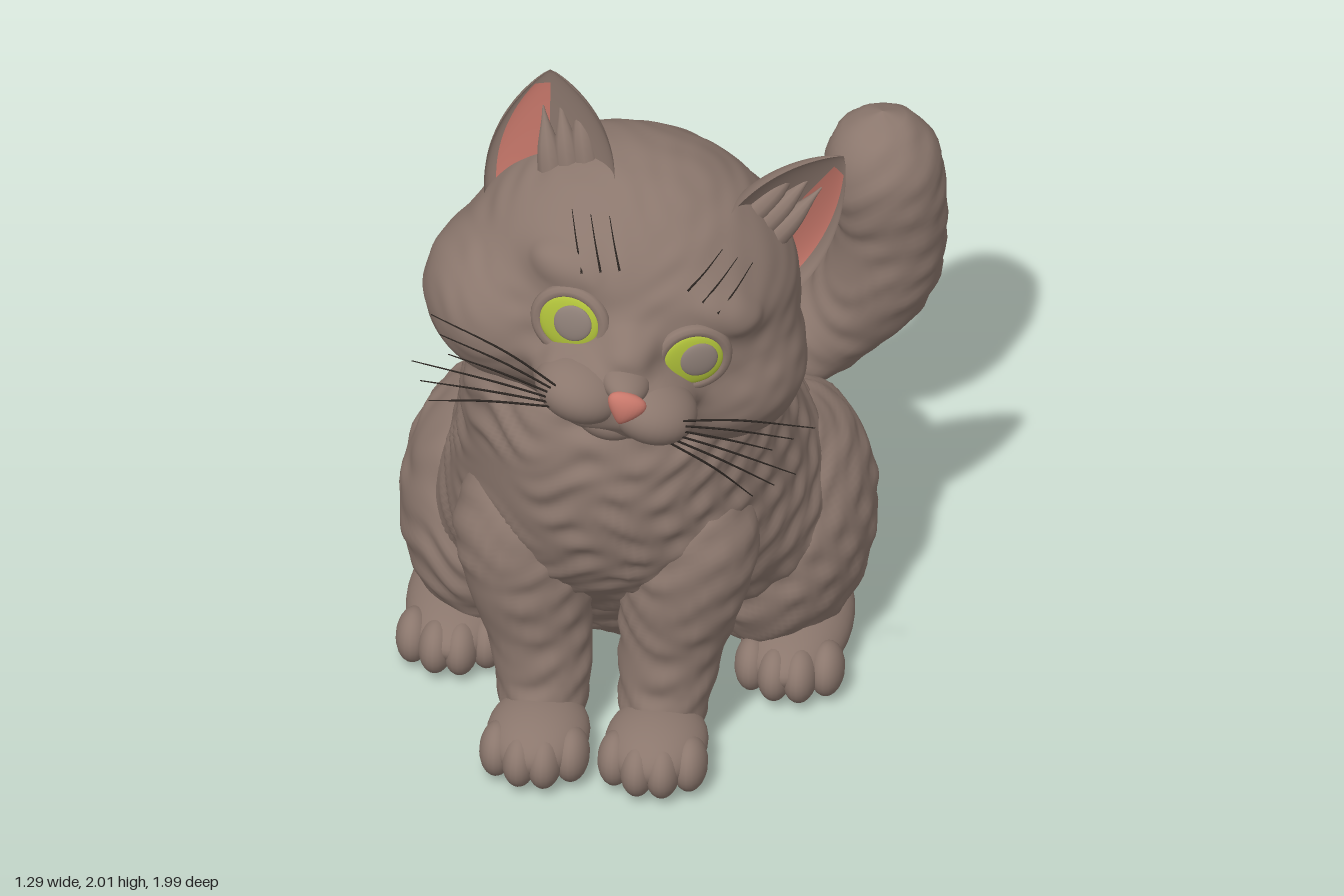
import * as THREE from 'three';
import { mergeVertices } from 'three/addons/utils/BufferGeometryUtils.js';

const mat = (name, color, side = THREE.FrontSide) => {
  const m = new THREE.MeshStandardMaterial({ color, side });
  m.name = name;
  return m;
};
const V = (x, y, z) => new THREE.Vector3(x, y, z);
const MIDLINE = -0.035;

// Smooth interpolation through rows of numbers, t in 0..1
function sample(rows, t) {
  const n = rows.length - 1, i = Math.min(Math.floor(t * n), n - 1), f = t * n - i;
  const at = (k) => rows[Math.max(0, Math.min(n, k))];
  return rows[0].map((_, c) => {
    const a = at(i - 1)[c], b = at(i)[c], d = at(i + 1)[c], e = at(i + 2)[c];
    return b + 0.5 * f * (d - a + f * (2 * a - 5 * b + 4 * d - e + f * (3 * (b - d) + e - a)));
  });
}

// Applies fn to every vertex, welds the seams and recomputes smooth normals
function reshape(geo, fn) {
  const g0 = geo.clone();
  const pos = g0.attributes.position, p = V();
  for (let i = 0; i < pos.count; i++) {
    fn(p.fromBufferAttribute(pos, i), i);
    pos.setXYZ(i, p.x, p.y, p.z);
  }
  g0.deleteAttribute('uv');
  g0.deleteAttribute('normal');
  const g = mergeVertices(g0, 1e-5);
  g.computeVertexNormals();
  return g;
}

// Ruffles a surface along its normals into overlapping locks of fur
function ruffle(geo, amount) {
  const nor = geo.attributes.normal.clone(), n = V();
  return reshape(geo, (p, i) => {
    const lock = Math.sin(p.y * 62 + 2.5 * Math.sin(p.x * 19 + p.z * 8) + p.z * 14);
    const strand = Math.sin(p.x * 43 - p.z * 37 + 2 * Math.sin(p.y * 17));
    p.addScaledVector(n.fromBufferAttribute(nor, i), amount * lock * (0.6 + strand * 0.6));
  });
}

const ellipsoid = (c, r, seg = 32) => reshape(new THREE.SphereGeometry(1, seg, Math.round(seg * 0.7)),
  (p) => p.set(c[0] + p.x * r[0], c[1] + p.y * r[1], c[2] + p.z * r[2]));

// Tube with a radius at each path point: rows are [x, y, z, radius]
function limb(rows, steps = 60, sides = 32) {
  const curve = new THREE.CatmullRomCurve3(rows.map((r) => V(r[0], r[1], r[2])));
  const radii = rows.map((r) => [r[3]]);
  return reshape(new THREE.TubeGeometry(curve, steps, 1, sides), (p, i) => {
    const u = Math.floor(i / (sides + 1)) / steps, c = curve.getPointAt(u);
    p.sub(c).multiplyScalar(Math.max(0.001, sample(radii, curve.getUtoTmapping(u))[0])).add(c);
  });
}

// Head as a soft union of ellipsoids: [centre, radii]
const HEAD = [[[0, 0.005, 0], [0.43, 0.38, 0.37]], [[0, 0.0, 0.33], [0.085, 0.09, 0.12]], [[0, -0.13, 0.33], [0.18, 0.12, 0.13]]];
for (const s of [-1, 1]) {
  HEAD.push([[s * 0.265, -0.115, 0.05], [0.235, 0.205, 0.26]], [[s * 0.17, 0.145, 0.26], [0.12, 0.06, 0.07]]);
  HEAD.push([[s * 0.09, -0.1, 0.38], [0.11, 0.075, 0.11]]);
}
function headField(p) {
  let d = 1;
  for (const [c, r] of HEAD) {
    const e = (Math.hypot((p.x - c[0]) / r[0], (p.y - c[1]) / r[1], (p.z - c[2]) / r[2]) - 1) * Math.min(...r);
    const h = Math.max(0.055 - Math.abs(d - e), 0) / 0.055;
    d = Math.min(d, e) - h * h * 0.012;
  }
  return d;
}
function headGeometry() {
  return reshape(new THREE.IcosahedronGeometry(1, 44), (p) => {
    const dir = p.clone().normalize();
    let lo = 0.1, hi = 0.8;
    for (let k = 0; k < 18; k++) {
      const m = (lo + hi) / 2;
      if (headField(p.copy(dir).multiplyScalar(m)) < 0) lo = m; else hi = m;
    }
  });
}
// Front point of the head at x, y
function onFace(x, y, lift = 0) {
  const p = V(x, y, 0.7);
  while (p.z > 0 && headField(p) > 0) p.z -= 0.003;
  p.z += lift;
  return p;
}

// Ear sheet: a runs across (-1 inner, 1 outer), s from base to tip
function earSheet(depth, a0, a1, s0, s1, lift) {
  const g = new THREE.PlaneGeometry(1, 1, 24, 28);
  return reshape(g, (p) => {
    const a = Math.sin((a0 + (a1 - a0) * (p.x + 0.5)) * Math.PI / 2), s = s0 + (s1 - s0) * (p.y + 0.5);
    const w = s < 0 ? 1 : (1 - s ** 2.1) ** 0.9;
    const z = 0.055 * (1 - s) - 0.075 * a * w - depth * Math.sqrt(Math.max(0, 1 - a * a)) * (1 - s) ** 0.8 + lift;
    p.set(0.29 + 0.14 * a * w + 0.1 * s, 0.22 - 0.105 * a * w + 0.295 * s, z);
  });
}

export function createModel() {
  const fur = mat('fur', 0x8b776d), furOpen = mat('ear fur', 0x8b776d, THREE.DoubleSide);
  const pink = mat('pink skin', 0xc8786b, THREE.DoubleSide), green = mat('green iris', 0xafc03a);
  const pupil = mat('pupil', 0x8f8078), dark = mat('whisker', 0x2b2521);
  const cat = new THREE.Group();
  cat.name = 'sittingCat';
  const add = (parent, name, geo, material) => {
    const m = new THREE.Mesh(geo, material);
    m.name = name;
    parent.add(m);
    return m;
  };

  // Torso: horizontal sections [y, back z, front z, half width], squarer at the rump
  const sections = [[0.01, -0.4, 0.04, 0.32], [0.1, -0.51, 0.18, 0.46], [0.25, -0.58, 0.32, 0.54], [0.4, -0.575, 0.48, 0.535],
    [0.55, -0.52, 0.63, 0.48], [0.7, -0.41, 0.695, 0.44], [0.85, -0.25, 0.715, 0.41], [1.0, -0.04, 0.705, 0.385],
    [1.15, 0.07, 0.65, 0.345], [1.28, 0.18, 0.58, 0.26]];
  const torso = reshape(new THREE.CylinderGeometry(1, 1, 1, 120, 120), (p) => {
    const [y, back, front, w] = sample(sections, Math.min(1, Math.max(0, p.y + 0.5)));
    const power = p.z < 0 ? 2 + 0.4 * THREE.MathUtils.smoothstep(0.9 - y, 0, 0.5) : 2;
    const r = Math.hypot(p.x, p.z);
    const k = r > 0 ? r / (Math.abs(p.x) ** power + Math.abs(p.z) ** power) ** (1 / power) : 0;
    p.set(-0.027 + p.x * k * w, y, (back + front) / 2 + p.z * k * (front - back) / 2);
  });
  add(cat, 'torso', ruffle(torso, 0.007), fur);

  // Legs and paws, mirrored about the body midline
  for (const s of [-1, 1]) {
    const side = new THREE.Group();
    side.name = s > 0 ? 'leftLegs' : 'rightLegs';
    side.position.x = MIDLINE;
    cat.add(side);
    add(side, 'haunch', ruffle(ellipsoid([s * 0.36, 0.32, -0.1], [0.24, 0.32, 0.39], 90), 0.006), fur);
    const leg = limb([[s * 0.17, 0.86, 0.34, 0.01], [s * 0.19, 0.78, 0.39, 0.12], [s * 0.21, 0.63, 0.455, 0.175],
      [s * 0.195, 0.48, 0.475, 0.163], [s * 0.17, 0.32, 0.48, 0.135], [s * 0.155, 0.18, 0.5, 0.12], [s * 0.15, 0.07, 0.55, 0.09], [s * 0.15, 0.03, 0.58, 0.01]], 80);
    add(side, 'frontLeg', ruffle(leg, 0.005), fur);
    add(side, 'frontPaw', ellipsoid([s * 0.15, 0.09, 0.63], [0.13, 0.084, 0.165]), fur);
    add(side, 'hindFoot', ellipsoid([s * 0.425, 0.09, 0.05], [0.14, 0.088, 0.28]), fur);
    for (let i = 0; i < 4; i++) {
      const o = (i - 1.5) * 0.063, b = Math.abs(i - 1.5) > 1 ? 0.04 : 0;
      add(side, 'frontToe', ellipsoid([s * 0.15 + o, 0.074, 0.735 - b], [0.045, 0.07, 0.075], 20), fur);
      add(side, 'hindToe', ellipsoid([s * 0.43 + o, 0.074, 0.267 - b], [0.045, 0.07, 0.075], 20), fur);
    }
  }

  // Tail sweeping to the side and up
  const tail = limb([[-0.08, 0.19, -0.42, 0.08], [-0.04, 0.195, -0.58, 0.083], [0.06, 0.22, -0.72, 0.095], [0.2, 0.28, -0.81, 0.11], [0.36, 0.4, -0.86, 0.125],
    [0.47, 0.56, -0.85, 0.143], [0.5, 0.74, -0.825, 0.14], [0.485, 0.88, -0.81, 0.152], [0.48, 0.98, -0.81, 0.13], [0.48, 1.045, -0.81, 0.07], [0.48, 1.065, -0.81, 0.001]], 90);
  add(cat, 'tail', ruffle(tail, 0.004), fur);

  // Head, tilted and slightly turned
  const head = new THREE.Group();
  head.name = 'head';
  head.position.set(0.025, 1.395, 0.46);
  head.rotation.set(0, 0.12, -0.33, 'YZX');
  cat.add(head);
  add(head, 'skull', ruffle(headGeometry(), 0.002), fur);
  add(head, 'chin', ellipsoid([0.01, -0.18, 0.375], [0.09, 0.06, 0.08]), fur);
  add(head, 'noseBridge', ellipsoid([0.01, -0.04, 0.41], [0.066, 0.045, 0.1]), fur);

  // Nose: a rounded wedge, wide on top
  add(head, 'nose', reshape(new THREE.SphereGeometry(1, 24, 16), (p) => {
    p.set(0.02 + p.x * 0.066 * (0.66 + 0.42 * p.y), -0.068 + p.y * 0.048, 0.503 + p.z * 0.03 + p.y * 0.004);
  }), pink);

  for (const s of [-1, 1]) {
    const half = new THREE.Group();
    half.name = s > 0 ? 'leftFace' : 'rightFace';
    half.scale.x = s;
    head.add(half);
    add(half, 'muzzlePad', ellipsoid([0.095 + s * 0.008, -0.107, 0.4], [0.118, 0.083, 0.118]), fur);

    // Ear with a pink strip along its outer half
    add(half, 'earBack', earSheet(0.2, -1, 1, -0.35, 1, 0), furOpen);
    add(half, 'earFront', earSheet(0.07, -1, 1, -0.35, 1, 0), furOpen);
    add(half, 'earInner', earSheet(0.07, 0, 0.61, -0.05, 0.87, 0.006), pink);
    for (let i = 0; i < 3; i++) {
      const x = 0.2 + i * 0.035, y = 0.26 - i * 0.03;
      add(half, 'earTuft', limb([[x, y, 0.04, 0.04], [x + 0.05, y + 0.1, 0.025, 0.03], [x + 0.1, y + 0.2, -0.01, 0.002]], 12, 10), fur);
    }

    // Eye: a flat iris with a low domed pupil inside the lid
    const eye = new THREE.Group();
    eye.name = 'eye';
    eye.position.copy(onFace(0.165, 0.03, 0.008));
    eye.rotation.set(-0.03, 0.28, 0);
    half.add(eye);
    add(eye, 'iris', ellipsoid([0, 0, 0], [0.078, 0.073, 0.014]), green);
    add(eye, 'pupil', ellipsoid([s * 0.009, 0.008, 0.009], [0.05, 0.05, 0.012]), pupil);
    add(eye, 'eyelid', reshape(new THREE.TorusGeometry(0.087, 0.018, 10, 40), (p) => p.set(p.x, p.y * 0.95, p.z - 0.012)), fur);

    // Whiskers and brow hairs
    for (let i = 0; i < 6; i++) {
      const y = -0.08 - i * 0.012, tip = -0.03 - i * 0.05, far = 0.51 - 0.04 * (i % 3);
      add(half, 'whisker', limb([[0.15, y, 0.48, 0.003], [0.3, (y + tip) / 2 + 0.015, 0.455, 0.003], [far, tip, 0.4, 0.0015]], 14, 5), dark);
    }
    for (let i = 0; i < 3; i++) {
      const hair = [0, 1, 2].map((k) => {
        const p = onFace(0.09 + i * 0.045 + k * 0.03, 0.2 - i * 0.015 + k * 0.045, 0.002 + k * 0.008);
        return [p.x, p.y, p.z, 0.003 - k * 0.001];
      });
      add(half, 'browHair', limb(hair, 12, 5), dark);
    }
  }
  return cat;
}
